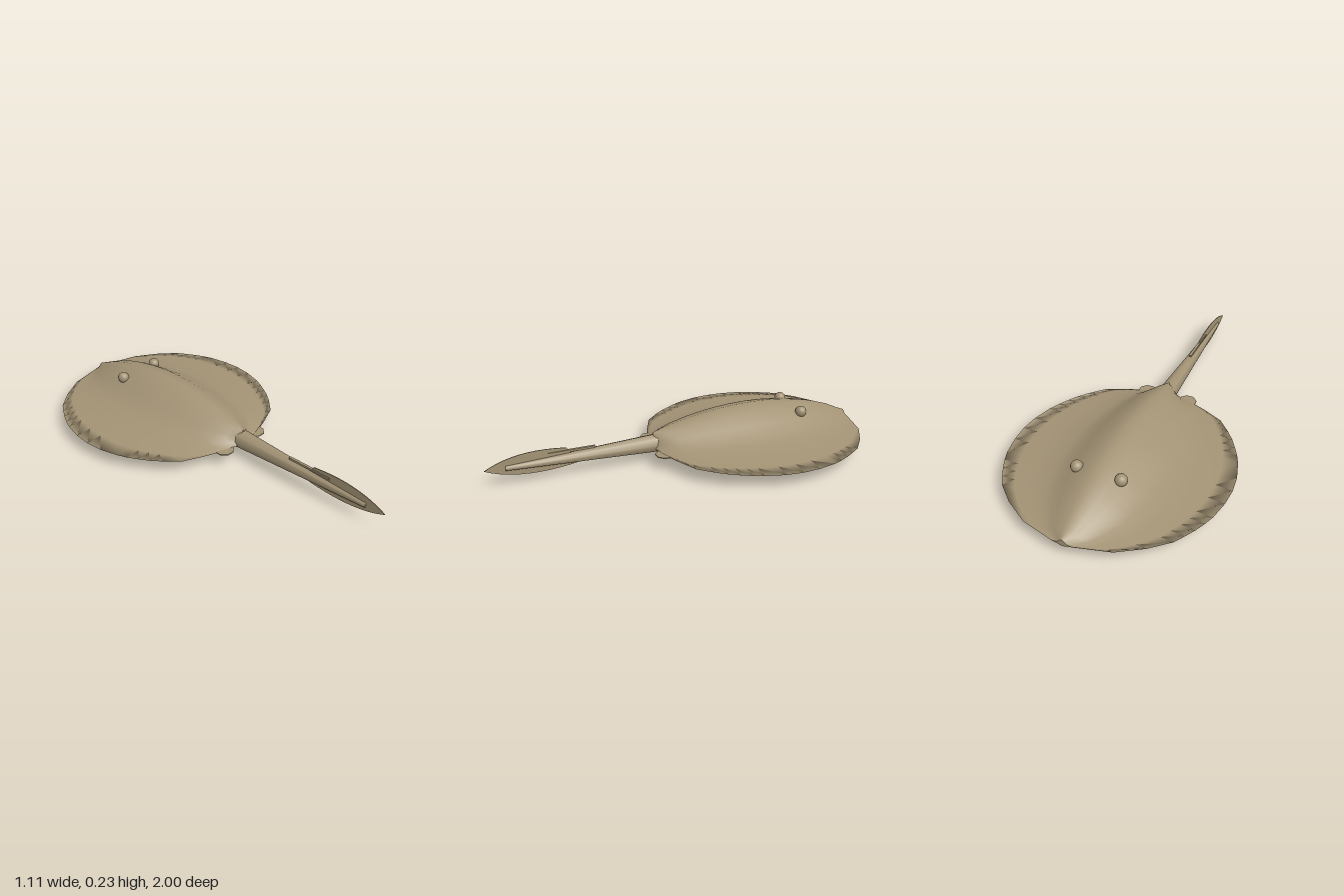
import * as THREE from 'three';

const skin = new THREE.MeshStandardMaterial({ color: 0xa39375 });
skin.name = 'sandySkin';

const EDGE_Y = 0.075;

// Disc stations along the body: z, half width, ridge height, belly height
const STATIONS = [
  [-1, 0.05, 0.1, 0.062], [-0.955, 0.22, 0.118, 0.055], [-0.88, 0.34, 0.153, 0.04],
  [-0.8, 0.43, 0.18, 0.027], [-0.75, 0.461, 0.194, 0.02], [-0.7, 0.49, 0.205, 0.015],
  [-0.65, 0.513, 0.214, 0.012], [-0.6, 0.532, 0.222, 0.009], [-0.5, 0.552, 0.232, 0.005],
  [-0.41, 0.557, 0.235, 0.003], [-0.32, 0.547, 0.233, 0.005], [-0.22, 0.518, 0.226, 0.01],
  [-0.17, 0.496, 0.22, 0.013], [-0.12, 0.468, 0.213, 0.016], [-0.07, 0.437, 0.205, 0.02],
  [-0.02, 0.397, 0.195, 0.026], [0.05, 0.33, 0.18, 0.036], [0.1, 0.22, 0.168, 0.046],
  [0.137, 0.12, 0.157, 0.055], [0.15, 0.055, 0.15, 0.06],
];
// Section shape: fraction of half width, fraction of height
const UPPER = [[0, 1], [0.07, 0.93], [0.15, 0.84], [0.27, 0.57], [0.36, 0.37], [0.47, 0.2], [0.65, 0.1], [0.85, 0.04]];
const LOWER = [[0, 1], [0.18, 0.92], [0.36, 0.64], [0.54, 0.36], [0.8, 0.13]];

// One closed ring of section points, from the +x edge over the ridge and back under the belly
function sectionRing() {
  const ring = [[1, 0, 1]];
  for (let i = UPPER.length - 1; i >= 0; i--) ring.push([UPPER[i][0], UPPER[i][1], 1]);
  for (let i = 1; i < UPPER.length; i++) ring.push([-UPPER[i][0], UPPER[i][1], 1]);
  ring.push([-1, 0, 1]);
  for (let i = LOWER.length - 1; i >= 0; i--) ring.push([-LOWER[i][0], LOWER[i][1], -1]);
  for (let i = 1; i < LOWER.length; i++) ring.push([LOWER[i][0], LOWER[i][1], -1]);
  return ring;
}

function discGeometry() {
  const ring = sectionRing();
  const n = ring.length;
  const pos = [];
  const index = [];
  for (const [z, w, top, low] of STATIONS) {
    for (const [fx, fy, side] of ring) {
      pos.push(fx * w, EDGE_Y + fy * ((side > 0 ? top : low) - EDGE_Y), z);
    }
  }
  for (let s = 0; s < STATIONS.length - 1; s++) {
    for (let i = 0; i < n; i++) {
      const a = s * n + i, b = s * n + (i + 1) % n;
      index.push(a, b, b + n, a, b + n, a + n);
    }
  }
  // Blunt caps at the snout and the tail root, with their own corners for a crisp rim
  for (const s of [0, STATIONS.length - 1]) {
    const first = pos.length / 3;
    pos.push(...pos.slice(s * n * 3, (s + 1) * n * 3), 0, EDGE_Y + 0.01, STATIONS[s][0]);
    for (let i = 0; i < n; i++) {
      const a = first + i, b = first + (i + 1) % n;
      if (s === 0) index.push(first + n, b, a);
      else index.push(first + n, a, b);
    }
  }
  const g = new THREE.BufferGeometry();
  g.setAttribute('position', new THREE.Float32BufferAttribute(pos, 3));
  g.setIndex(index);
  g.computeVertexNormals();
  return g;
}

export function createModel() {
  const model = new THREE.Group();
  const add = (name, geometry) => {
    const mesh = new THREE.Mesh(geometry, skin);
    mesh.name = name;
    model.add(mesh);
    return mesh;
  };

  add('bodyDisc', discGeometry());

  // Tapering tail, rooted inside the body
  const tail = add('tail', new THREE.CylinderGeometry(0.013, 0.055, 0.9, 8).rotateX(Math.PI / 2));
  tail.position.set(0, 0.092, 0.45);

  // Upright leaf-shaped blade at the tail end, drawn with x as z
  const leaf = new THREE.Shape();
  leaf.moveTo(1, 0.095);
  leaf.bezierCurveTo(0.9, 0.15, 0.78, 0.172, 0.6, 0.148);
  leaf.lineTo(0.56, 0.095);
  leaf.lineTo(0.52, 0.065);
  leaf.bezierCurveTo(0.7, 0.03, 0.88, 0.035, 1, 0.095);
  const blade = new THREE.ExtrudeGeometry(leaf, { depth: 0.004, bevelEnabled: false, curveSegments: 10 });
  add('tailBlade', blade.translate(0, 0, -0.002).rotateY(-Math.PI / 2));

  // Barb lying on the tail
  const barb = add('tailBarb', new THREE.BoxGeometry(0.014, 0.01, 0.24));
  barb.position.set(0, 0.13, 0.575);

  for (const side of [1, -1]) {
    const eye = add(side > 0 ? 'leftEye' : 'rightEye', new THREE.SphereGeometry(0.03, 16, 12));
    eye.position.set(side * 0.112, 0.183, -0.65);

    // Small flat fin beside the tail root
    const fin = add(side > 0 ? 'leftPelvicFin' : 'rightPelvicFin', new THREE.CylinderGeometry(0.05, 0.05, 0.005, 8));
    fin.position.set(side * 0.115, EDGE_Y, 0.128);
    fin.rotation.y = Math.PI / 8;
  }

  // Mouth line under the snout
  const mouthPath = new THREE.QuadraticBezierCurve3(
    new THREE.Vector3(-0.07, 0.018, -0.74), new THREE.Vector3(0, 0.01, -0.68), new THREE.Vector3(0.07, 0.018, -0.74));
  add('mouth', new THREE.TubeGeometry(mouthPath, 10, 0.005, 6));

  return model;
}
